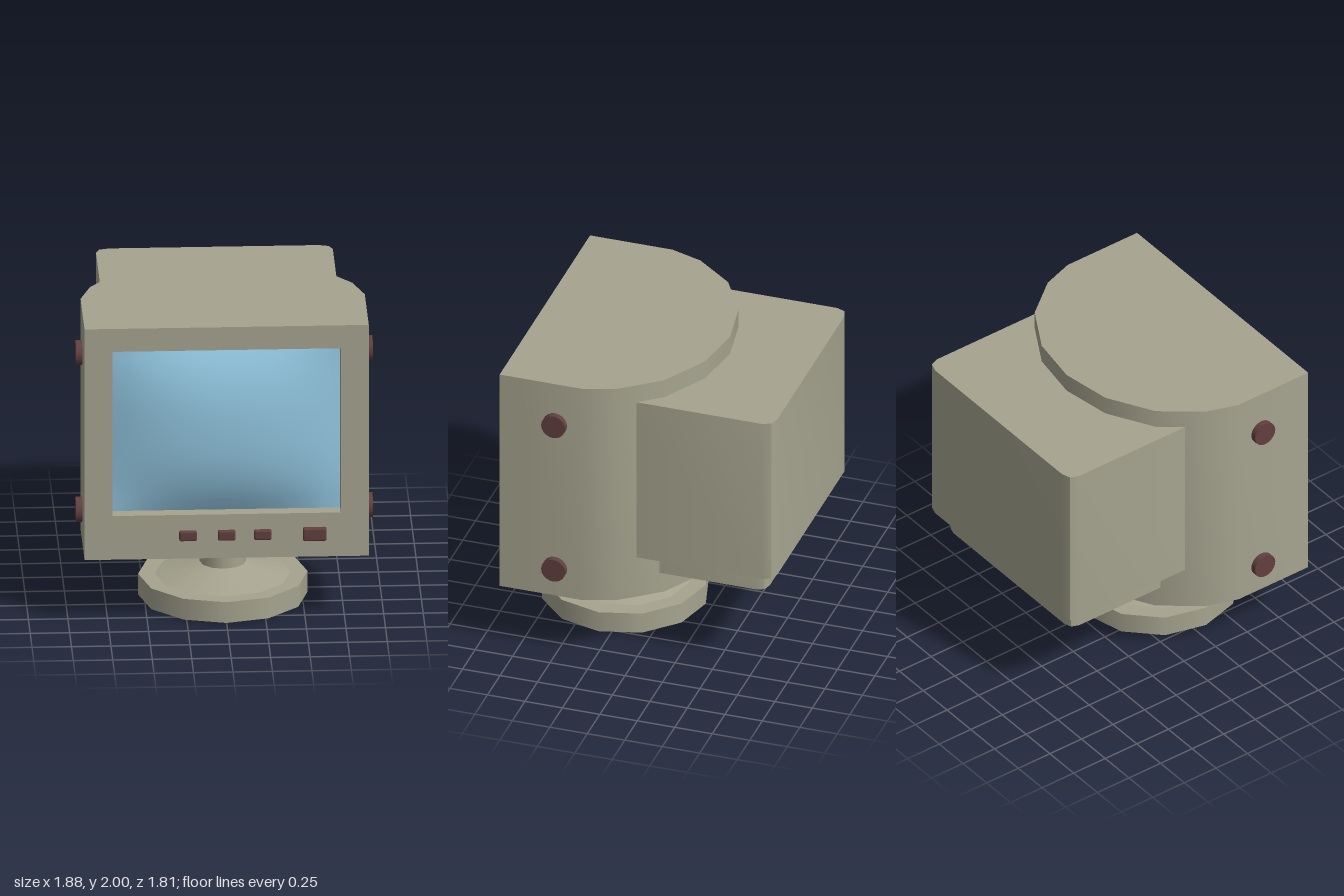
import * as THREE from 'three';
import { toCreasedNormals } from 'three/addons/utils/BufferGeometryUtils.js';
import { RoundedBoxGeometry } from 'three/addons/geometries/RoundedBoxGeometry.js';

const casing = new THREE.MeshStandardMaterial({ color: 0xa6a48f });
const dark = new THREE.MeshStandardMaterial({ color: 0x623f3f });
const glass = new THREE.MeshStandardMaterial({ color: 0x92c6e0 });

export function createModel() {
  const model = new THREE.Group();

  const add = (name, geometry, material, x = 0, y = 0, z = 0) => {
    const mesh = new THREE.Mesh(geometry, material);
    mesh.name = name;
    mesh.position.set(x, y, z);
    model.add(mesh);
    return mesh;
  };

  // Upright prism from half a plan outline of (x, z) points, mirrored across x = 0
  const prism = (name, half, bottom, top) => {
    const mirrored = half.filter(([x]) => x > 0).reverse().map(([x, z]) => [-x, z]);
    const shape = new THREE.Shape([...half, ...mirrored].map(([x, z]) => new THREE.Vector2(x, z)));
    const geometry = new THREE.ExtrudeGeometry(shape, { depth: top - bottom, bevelEnabled: false });
    geometry.rotateX(Math.PI / 2);
    add(name, toCreasedNormals(geometry, 0.6), casing, 0, top, 0);
  };

  // Main body with a curved back
  const bezelBack = 0.76;
  prism('body', [[0.9, bezelBack], [0.9, 0.32], [0.83, 0.11], [0.635, -0.14], [0.335, -0.31], [0, -0.365]], 0.44, 2);

  // Front bezel with the screen opening
  const rect = (Type, x, y0, y1) => new Type([[-x, y0], [x, y0], [x, y1], [-x, y1]].map(p => new THREE.Vector2(...p)));
  const bezel = rect(THREE.Shape, 0.9, 0.44, 2);
  bezel.holes.push(rect(THREE.Path, 0.723, 0.735, 1.845));
  add('bezel', new THREE.ExtrudeGeometry(bezel, { depth: 0.87 - bezelBack, bevelEnabled: false }), casing, 0, 0, bezelBack);

  // Bulging screen, flat along its border
  const screen = new THREE.PlaneGeometry(1.446, 1.11, 16, 14);
  const pos = screen.attributes.position;
  for (let i = 0; i < pos.count; i++) {
    const u = Math.min(1, Math.abs(pos.getX(i)) / 0.723);
    const v = Math.min(1, Math.abs(pos.getY(i)) / 0.555);
    pos.setZ(i, 0.125 * (1 - u ** 2.2) * (1 - v ** 2.5));
  }
  screen.computeVertexNormals();
  add('screen', screen, glass, 0, 1.29, 0.78);

  // Rear tube housing and the smaller step beneath it
  prism('rearHousing', [[0.75, 0.08], [0.75, -0.83], [0.727, -0.885], [0.665, -0.905]], 0.73, 1.875);
  prism('rearStep', [[0.655, -0.05], [0.655, -0.76], [0.635, -0.808], [0.58, -0.825]], 0.585, 0.74);

  // Side knobs
  for (const side of [-1, 1]) {
    for (const y of [0.645, 1.705]) {
      const knob = add('sideKnob', new THREE.CylinderGeometry(0.08, 0.08, 0.06, 20), dark, side * 0.91, y, 0.5);
      knob.rotation.z = Math.PI / 2;
    }
  }

  // Front buttons
  for (const x of [-0.245, 0, 0.228]) {
    add('button', new RoundedBoxGeometry(0.112, 0.066, 0.06, 2, 0.012), dark, x, 0.597, 0.868);
  }
  add('powerButton', new RoundedBoxGeometry(0.15, 0.086, 0.06, 2, 0.012), dark, 0.557, 0.597, 0.875);

  // Twelve-sided stand
  const standZ = 0.333;
  add('standBase', new THREE.CylinderGeometry(0.537, 0.537, 0.14, 12), casing, 0, 0.07, standZ);
  add('standCone', new THREE.CylinderGeometry(0.147, 0.43, 0.08, 12), casing, 0, 0.18, standZ);
  add('standNeck', new THREE.CylinderGeometry(0.147, 0.147, 0.21, 12), casing, 0, 0.325, standZ);

  return model;
}
